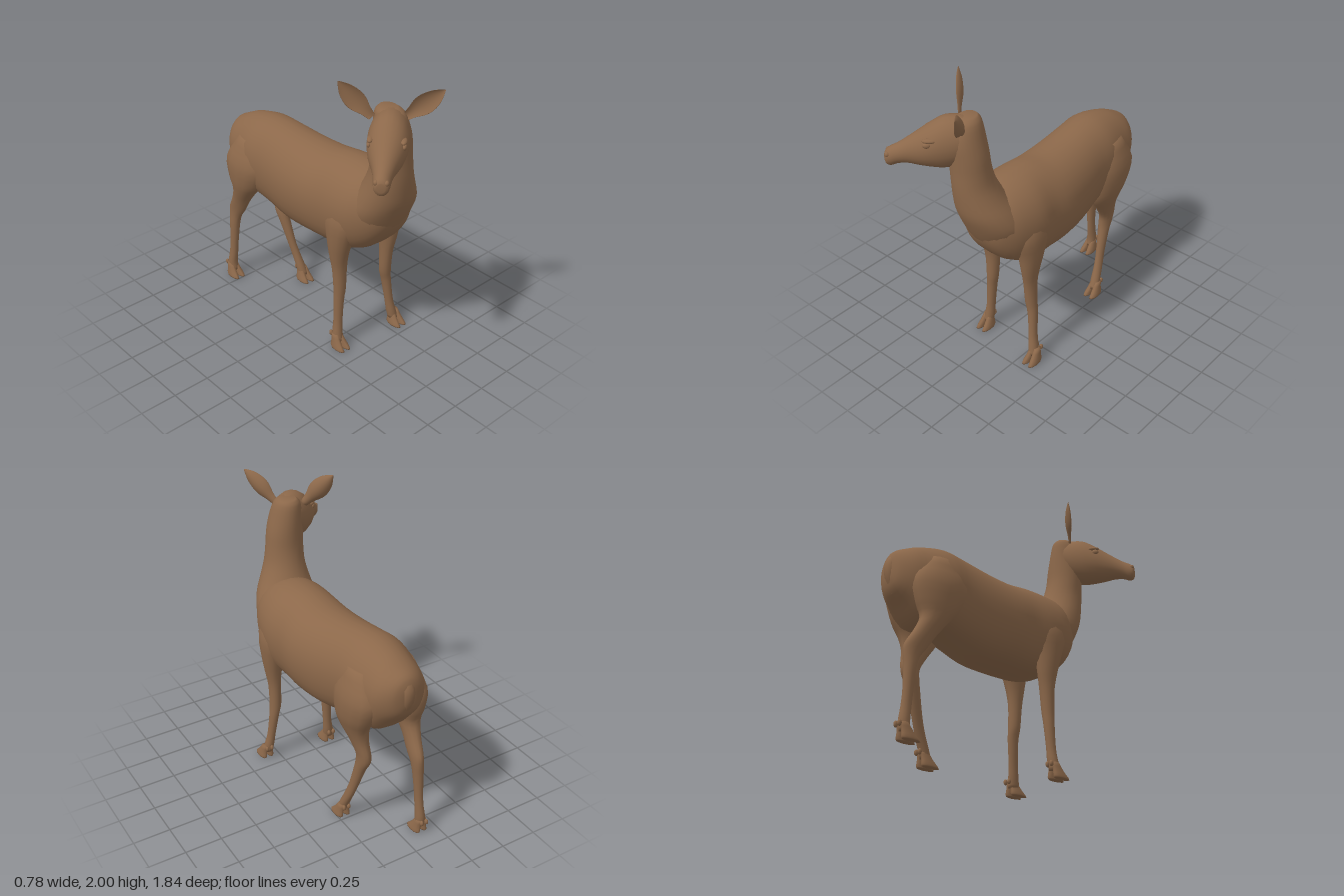
import * as THREE from 'three';

const V = (x, y, z) => new THREE.Vector3(x, y, z);
const X = V(1, 0, 0), Y = V(0, 1, 0), Z = V(0, 0, 1);
const coat = new THREE.MeshStandardMaterial({ color: 0x8c684a });
coat.name = 'brown coat';

// Cross-section rules: angle -> [side, up], each in -1..1
const oval = a => [Math.cos(a), Math.sin(a)];
const barrel = a => {
  const c = Math.cos(a), s = Math.sin(a);
  return [s < 0 ? Math.sign(c) * Math.abs(c) ** 0.65 : c, s];
};
const cupped = a => {
  const c = Math.cos(a), s = Math.sin(a);
  return [c, 0.5 * c * c + (s > 0 ? 0.02 : 0.4) * s - 0.2];
};

// Smooth skin through rows [x, y, z, halfSide, halfUp]; rows advance along side x up
function loft(name, rows, side, up, { n = 18, steps = 3, profile = oval } = {}) {
  const centres = new THREE.CatmullRomCurve3(rows.map(r => V(r[0], r[1], r[2])), false, 'catmullrom', 0.5);
  const sizes = new THREE.CatmullRomCurve3(rows.map(r => V(r[3], r[4], 0)), false, 'catmullrom', 0.5);
  const rings = (rows.length - 1) * steps;
  const pos = [], idx = [];
  for (let i = 0; i <= rings; i++) {
    const c = centres.getPoint(i / rings), s = sizes.getPoint(i / rings);
    for (let j = 0; j < n; j++) {
      const [u, v] = profile((j / n) * Math.PI * 2);
      const p = c.clone().addScaledVector(side, u * s.x).addScaledVector(up, v * s.y);
      pos.push(p.x, p.y, p.z);
    }
  }
  for (let i = 0; i < rings; i++) for (let j = 0; j < n; j++) {
    const a = i * n + j, b = i * n + (j + 1) % n;
    idx.push(a, b, b + n, a, b + n, a + n);
  }
  // End caps
  const first = rings * n + n, last = first + 1;
  const end = rows[rows.length - 1];
  pos.push(...rows[0].slice(0, 3), ...end.slice(0, 3));
  for (let j = 0; j < n; j++) {
    const k = (j + 1) % n;
    idx.push(first, k, j, last, rings * n + j, rings * n + k);
  }
  const g = new THREE.BufferGeometry();
  g.setAttribute('position', new THREE.Float32BufferAttribute(pos, 3));
  g.setIndex(idx);
  g.computeVertexNormals();
  const mesh = new THREE.Mesh(g, coat);
  mesh.name = name;
  return mesh;
}

function ball(name, p, sx, sy, sz, turn = 0) {
  const m = new THREE.Mesh(new THREE.SphereGeometry(1, 12, 8), coat);
  m.name = name;
  m.position.copy(p);
  m.scale.set(sx, sy, sz);
  m.rotation.y = turn;
  return m;
}

// Leg skin plus a cloven hoof and two dewclaws; foot = [x, z]
function leg(name, rows, [fx, fz]) {
  const g = new THREE.Group();
  g.name = name;
  g.add(loft(name + 'Limb', rows, X, Z, { n: 14 }));
  for (const s of [-1, 1]) {
    g.add(loft(name + 'Hoof', [
      [fx + s * 0.016, 0.1, fz - 0.03, 0.018, 0.028],
      [fx + s * 0.021, 0.05, fz - 0.01, 0.022, 0.042],
      [fx + s * 0.026, 0.015, fz + 0.005, 0.024, 0.06],
      [fx + s * 0.026, 0, fz + 0.012, 0.024, 0.062],
    ], X, Z, { n: 10, steps: 2 }));
    g.add(ball(name + 'Dewclaw', V(fx + s * 0.018, 0.09, fz - 0.065), 0.012, 0.02, 0.014));
  }
  return g;
}

function ear(name, base, tip, width) {
  const dir = tip.clone().sub(base);
  const open = V(-dir.z, 0, dir.x).normalize();
  if (open.x > 0) open.negate();
  const side = open.clone().cross(dir).normalize();
  const rows = [[0, 0.4], [0.2, 0.6], [0.4, 0.95], [0.58, 1], [0.78, 0.75], [0.92, 0.35], [1, 0.06]].map(([t, w]) => {
    const p = base.clone().addScaledVector(dir, t);
    return [p.x, p.y, p.z, w * width, w * width * 0.75];
  });
  return loft(name, rows, side, open, { n: 20, profile: cupped });
}

export function createModel() {
  const deer = new THREE.Group();
  deer.name = 'deer';

  // Trunk, rump to breast
  deer.add(loft('body', [
    [0.03, 1.13, -0.895, 0.04, 0.06], [0.03, 1.12, -0.87, 0.11, 0.13], [0.03, 1.1, -0.8, 0.175, 0.19],
    [0.03, 1.07, -0.7, 0.205, 0.265], [0.03, 1.08, -0.55, 0.235, 0.285], [0.04, 1.06, -0.4, 0.235, 0.3],
    [0.055, 1.025, -0.2, 0.255, 0.31], [0.07, 1.02, 0, 0.27, 0.305], [0.075, 1.03, 0.15, 0.262, 0.315],
    [0.082, 1.04, 0.28, 0.27, 0.31], [0.08, 1.055, 0.4, 0.255, 0.285], [0.085, 1.075, 0.5, 0.215, 0.235],
    [0.085, 1.1, 0.58, 0.15, 0.15], [0.085, 1.11, 0.625, 0.05, 0.05],
  ], X, Y, { n: 28, profile: barrel }));

  // Neck, crown to brisket
  deer.add(loft('neck', [
    [0, 1.835, 0.575, 0.05, 0.06], [0, 1.8, 0.59, 0.085, 0.1], [0.01, 1.7, 0.6, 0.107, 0.12],
    [0.02, 1.6, 0.598, 0.122, 0.122], [0.027, 1.5, 0.593, 0.128, 0.124], [0.037, 1.4, 0.58, 0.137, 0.137],
    [0.052, 1.3, 0.553, 0.165, 0.157], [0.07, 1.2, 0.51, 0.2, 0.185], [0.08, 1.1, 0.46, 0.22, 0.195],
    [0.08, 1, 0.42, 0.2, 0.185], [0.08, 0.9, 0.38, 0.17, 0.16],
  ], X, Z, { n: 22 }));

  // Head, turned to its right: [distance forward, top, bottom, half width]
  const fwd = V(-0.78, 0, 0.63).normalize(), across = V(0.63, 0, 0.78).normalize();
  const onHead = (s, y, w = 0) => V(0, y, 0.6).addScaledVector(fwd, s).addScaledVector(across, w);
  const headRows = [
    [-0.09, 1.79, 1.66, 0.05], [-0.05, 1.82, 1.6, 0.095], [0.03, 1.84, 1.53, 0.118], [0.12, 1.835, 1.505, 0.124],
    [0.2, 1.79, 1.508, 0.115], [0.27, 1.74, 1.515, 0.094], [0.34, 1.69, 1.525, 0.07], [0.4, 1.65, 1.52, 0.055],
    [0.44, 1.63, 1.505, 0.05], [0.468, 1.61, 1.51, 0.043], [0.48, 1.59, 1.535, 0.025],
  ];
  deer.add(loft('head', headRows.map(([s, top, bottom, w]) => {
    const p = onHead(s, (top + bottom) / 2);
    return [p.x, p.y, p.z, w, (top - bottom) / 2];
  }), across, Y, { n: 22 }));
  const turn = Math.atan2(fwd.x, fwd.z);
  for (const s of [-1, 1]) {
    deer.add(ball('eye', onHead(0.215, 1.695, s * 0.102), 0.014, 0.018, 0.026, turn));
    deer.add(ball('brow', onHead(0.2, 1.722, s * 0.096), 0.02, 0.014, 0.045, turn));
    deer.add(ball('nostril', onHead(0.46, 1.588, s * 0.03), 0.016, 0.018, 0.018, turn));
  }

  deer.add(ear('rightEar', V(-0.1, 1.785, 0.545), V(-0.237, 2, 0.4), 0.062));
  deer.add(ear('leftEar', V(0.045, 1.775, 0.66), V(0.172, 1.975, 0.85), 0.06));

  // Legs, top to bottom
  deer.add(leg('leftFrontLeg', [
    [0.25, 1.15, 0.33, 0.06, 0.08], [0.265, 1, 0.33, 0.092, 0.14], [0.275, 0.85, 0.335, 0.075, 0.1],
    [0.275, 0.72, 0.342, 0.055, 0.07], [0.27, 0.6, 0.338, 0.042, 0.05], [0.272, 0.45, 0.332, 0.04, 0.042],
    [0.285, 0.36, 0.332, 0.033, 0.037], [0.302, 0.2, 0.348, 0.028, 0.032], [0.315, 0.11, 0.36, 0.033, 0.036],
    [0.325, 0.05, 0.37, 0.034, 0.036],
  ], [0.335, 0.39]));
  deer.add(leg('rightFrontLeg', [
    [-0.08, 1.15, 0.3, 0.06, 0.08], [-0.1, 1, 0.3, 0.092, 0.14], [-0.112, 0.85, 0.295, 0.078, 0.1],
    [-0.112, 0.72, 0.285, 0.062, 0.07], [-0.105, 0.6, 0.285, 0.05, 0.05], [-0.105, 0.45, 0.29, 0.042, 0.042],
    [-0.113, 0.36, 0.29, 0.035, 0.037], [-0.122, 0.2, 0.295, 0.03, 0.032], [-0.13, 0.11, 0.3, 0.035, 0.036],
    [-0.135, 0.05, 0.31, 0.034, 0.036],
  ], [-0.138, 0.33]));
  deer.add(leg('leftHindLeg', [
    [0.18, 1.22, -0.58, 0.06, 0.1], [0.19, 1.05, -0.58, 0.108, 0.2], [0.195, 0.9, -0.56, 0.1, 0.18],
    [0.19, 0.8, -0.545, 0.078, 0.14], [0.175, 0.7, -0.572, 0.055, 0.095], [0.16, 0.6, -0.61, 0.042, 0.07],
    [0.155, 0.53, -0.608, 0.04, 0.062], [0.16, 0.45, -0.58, 0.036, 0.046], [0.175, 0.3, -0.535, 0.028, 0.037],
    [0.188, 0.2, -0.5, 0.028, 0.036], [0.198, 0.11, -0.462, 0.033, 0.035], [0.204, 0.05, -0.44, 0.034, 0.036],
  ], [0.206, -0.43]));
  deer.add(leg('rightHindLeg', [
    [-0.11, 1.22, -0.6, 0.06, 0.1], [-0.13, 1.05, -0.61, 0.105, 0.2], [-0.135, 0.9, -0.63, 0.097, 0.16],
    [-0.138, 0.8, -0.655, 0.072, 0.1], [-0.13, 0.7, -0.712, 0.05, 0.08], [-0.12, 0.6, -0.772, 0.04, 0.077],
    [-0.12, 0.53, -0.8, 0.036, 0.056], [-0.125, 0.45, -0.81, 0.034, 0.042], [-0.13, 0.3, -0.82, 0.028, 0.034],
    [-0.132, 0.2, -0.83, 0.028, 0.034], [-0.136, 0.11, -0.842, 0.033, 0.036], [-0.138, 0.05, -0.835, 0.034, 0.036],
  ], [-0.138, -0.82]));

  // Short tail lying against the rump
  deer.add(loft('tail', [
    [0.03, 1.26, -0.82, 0.03, 0.03], [0.03, 1.18, -0.875, 0.045, 0.03],
    [0.03, 1.08, -0.88, 0.04, 0.025], [0.03, 0.97, -0.845, 0.015, 0.012],
  ], X, Z, { n: 10 }));

  return deer;
}
